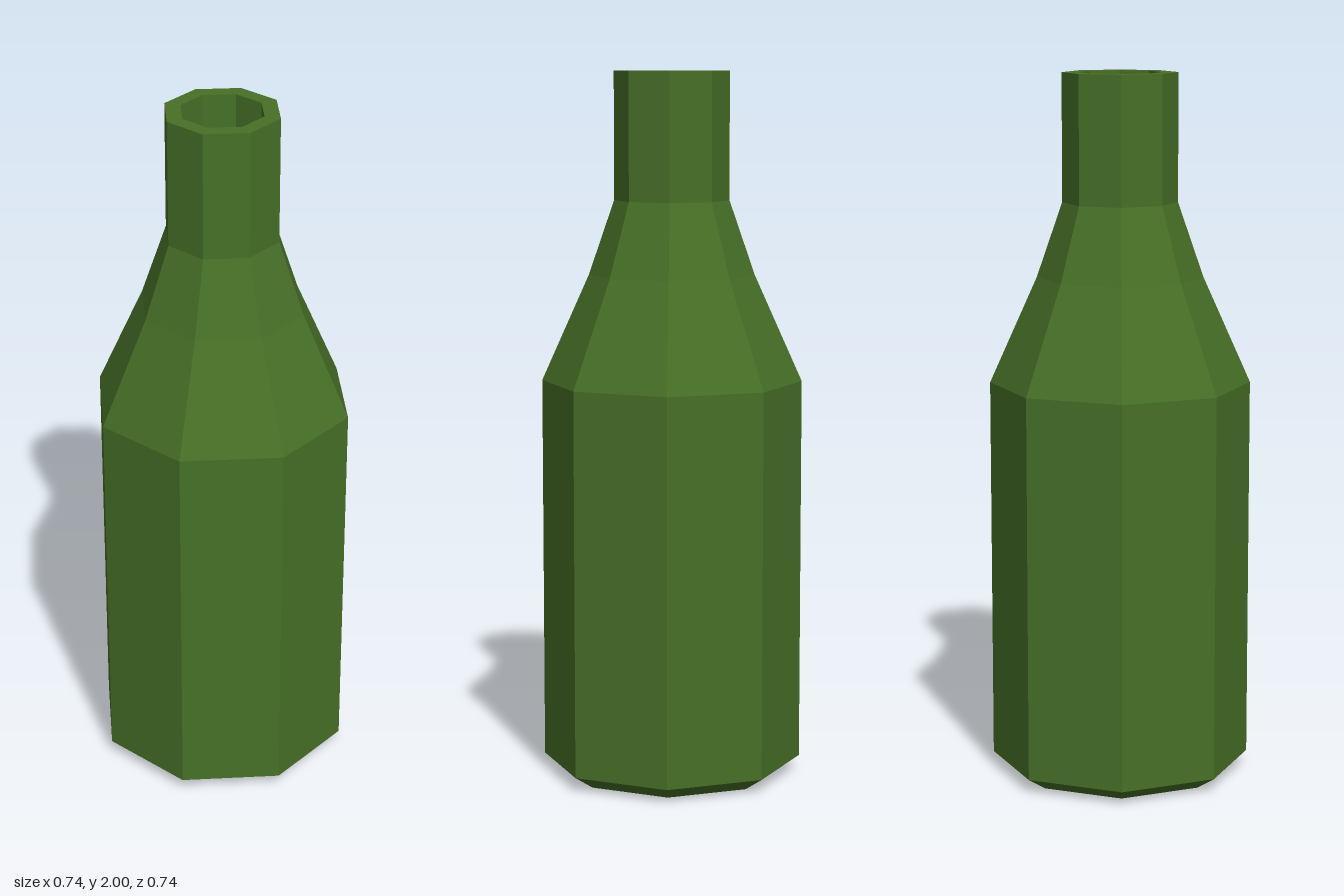
import * as THREE from 'three';

const SIDES = 8;

export function createModel() {
  const group = new THREE.Group();
  group.name = 'bottle';

  const glass = new THREE.MeshStandardMaterial({ color: 0x477027 });
  glass.name = 'green glass';
  glass.flatShading = true;

  // Revolve a [radius, height] profile into eight flat sides
  const addLathe = (name, profile) => {
    const points = profile.map(([r, y]) => new THREE.Vector2(r, y));
    const mesh = new THREE.Mesh(new THREE.LatheGeometry(points, SIDES), glass);
    mesh.name = name;
    group.add(mesh);
  };

  // Base with bevelled foot, and straight body
  addLathe('body', [[0, 0], [0.305, 0], [0.368, 0.04], [0.368, 1.13]]);

  // Shoulder tapering in two steps to the neck
  addLathe('shoulder', [[0.368, 1.13], [0.234, 1.43], [0.162, 1.64]]);

  // Neck, flat rim and hollow bore with its floor
  addLathe('neck', [[0.162, 1.64], [0.162, 2], [0.117, 2], [0.117, 1.64], [0, 1.64]]);

  return group;
}
